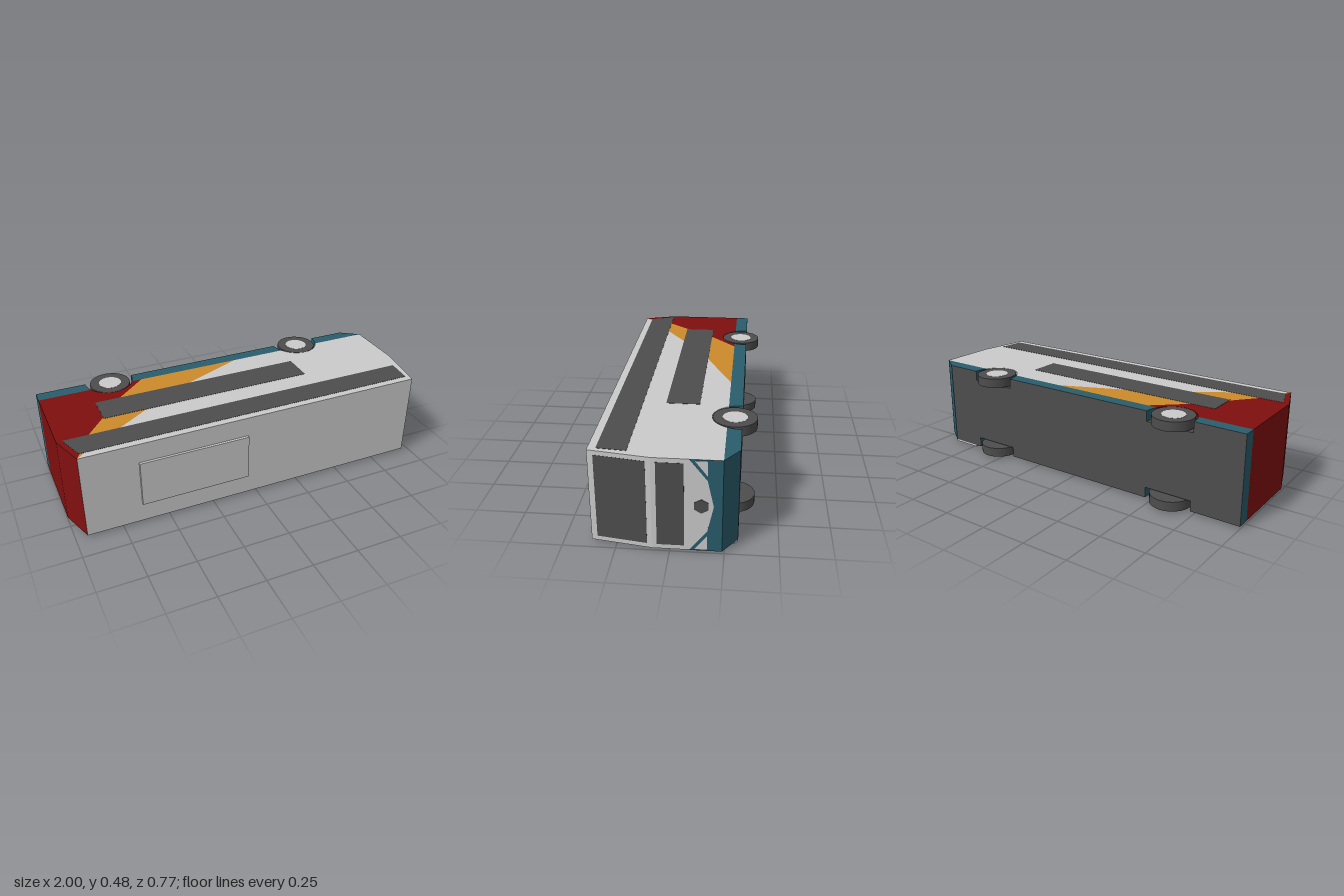
import * as THREE from 'three';

const mat = (color) => new THREE.MeshStandardMaterial({ color, side: THREE.DoubleSide });
const grey = mat(0xcccccc), dark = mat(0x4d4d4d), teal = mat(0x2a5d6c), red = mat(0x800f0f), orange = mat(0xcc8a2a);

// The bus lies on its side: length along x, its roof towards +z, its width along y
const Y0 = 0.012, Y1 = 0.483, MID = (Y0 + Y1) / 2;
const FLOOR = -0.31, SKIRT = -0.24, ROOF = 0.368, TYRE = 0.051;
const AXLES = [-0.6, 0.565], ARCH_W = 0.131, ARCH_H = 0.146;

// Wheel arch outline above height z, in order of growing x
function arch(cx, z, zEnd = 1) {
  const a = Math.asin((z - FLOOR) / ARCH_H);
  const points = [];
  for (let i = 0; i <= 16; i++) {
    const t = Math.PI - a - (i / 16) * (Math.PI - 2 * a);
    points.push([cx + ARCH_W * Math.cos(t), Math.min(zEnd, FLOOR + ARCH_H * Math.sin(t))]);
  }
  return points;
}

export function createModel() {
  const bus = new THREE.Group();
  bus.name = 'bus';

  function add(name, geometry, material, parent = bus) {
    const mesh = new THREE.Mesh(geometry, material);
    mesh.name = name;
    parent.add(mesh);
    return mesh;
  }

  // Outline in [x, z], extruded across the width from y0 to y1
  function slab(name, points, material, y0 = Y0, y1 = Y1) {
    const shape = new THREE.Shape(points.map(([x, z]) => new THREE.Vector2(x, -z)));
    const g = new THREE.ExtrudeGeometry(shape, { depth: y1 - y0, bevelEnabled: false });
    g.rotateX(-Math.PI / 2).translate(0, y0, 0);
    return add(name, g, material);
  }

  // Thin plate in [y, z] on the nose, leaning back with the upper deck
  function nosePlate(name, points, material, lift = 0.001) {
    const shape = new THREE.Shape(points.map(([y, z]) => new THREE.Vector2(y, z)));
    const g = new THREE.ExtrudeGeometry(shape, { depth: lift + 0.001, bevelEnabled: false });
    g.applyMatrix4(new THREE.Matrix4().makeBasis(
      new THREE.Vector3(0, 1, 0), new THREE.Vector3(0, 0, 1), new THREE.Vector3(1, 0, 0)));
    const p = g.attributes.position;
    for (let i = 0; i < p.count; i++) {
      p.setX(i, p.getX(i) + 0.999 - Math.max(0, p.getZ(i) - 0.08) * 0.156);
    }
    g.computeVertexNormals();
    return add(name, g, material);
  }

  const rect = (a, b, c, d) => [[a, c], [b, c], [b, d], [a, d]];
  const box = (name, x0, x1, y0, y1, z0, z1, material) => slab(name, rect(x0, x1, z0, z1), material, y0, y1);

  // Body in coloured sections that meet along the slanting stripes
  const redEdge = [[-0.43, SKIRT], [-0.59, -0.1], [-0.72, 0.05], [-0.84, 0.19], [-0.94, ROOF]];
  const orangeEdge = [[0.14, SKIRT], [-0.19, -0.1], [-0.51, 0.08], [-0.68, 0.19], [-0.9, 0.335], [-0.94, ROOF]];
  const skirtArch = (cx) => {
    // only the part of the arch lower than the top of the skirt
    const curve = (s) => [0, 0.25, 0.5, 0.75, 1].map((t) => {
      const z = FLOOR + t * (SKIRT - FLOOR);
      return [cx + s * ARCH_W * Math.sqrt(1 - ((z - FLOOR) / ARCH_H) ** 2), z];
    });
    return { left: curve(-1), right: curve(1) };
  };
  const [rearArch, frontArch] = AXLES.map(skirtArch);
  slab('skirtRear', [[-1, SKIRT], [-1, FLOOR], ...rearArch.left], teal);
  slab('skirtMiddle', [...rearArch.right, ...frontArch.left.reverse()].reverse(), teal);
  slab('skirtFront', [...frontArch.right, [1, SKIRT], [0.9, FLOOR]], teal);
  slab('rearBody', [[-1, SKIRT], ...arch(AXLES[0], SKIRT), ...redEdge, [-1, 0.19]], red);
  slab('stripe', [...orangeEdge.slice(0, -1), ...redEdge.slice().reverse()], orange);
  slab('mainBody', [...orangeEdge.slice().reverse(), ...arch(AXLES[1], SKIRT),
    [1, SKIRT], [1, 0.08], [0.955, ROOF]], grey);

  // Dark underside with gaps at the wheel wells, and the well linings
  box('underside', -1, 0.9, Y0 + 0.056, Y1 - 0.056, FLOOR - 0.001, FLOOR + 0.001, dark);
  const gaps = [-1, AXLES[0] - ARCH_W, AXLES[0] + ARCH_W, AXLES[1] - ARCH_W, AXLES[1] + ARCH_W, 0.9];
  for (let i = 0; i < 6; i += 2) {
    box('undersideEdge', gaps[i], gaps[i + 1], Y0, Y1, FLOOR - 0.001, FLOOR + 0.001, dark);
  }
  for (const cx of AXLES) slab('wheelWell', arch(cx, FLOOR), dark, Y0 + 0.056, Y1 - 0.056);

  // Side windows, showing on both sides
  const out = 0.0012;
  slab('lowerSideWindows', rect(-0.73, 0.435, -0.095, 0.075), dark, Y0 - out, Y1 + out);
  slab('upperSideWindows', [[-0.97, 0.19], [0.95, 0.19], [0.937, 0.33], [-0.922, 0.33]], dark, Y0 - out, Y1 + out);

  // Nose: windscreens, painted lower front, headlights and hexagonal plate
  nosePlate('upperWindscreen', rect(0.035, 0.461, 0.103, 0.34), dark);
  nosePlate('lowerWindscreen', rect(0.035, 0.461, -0.067, 0.058), dark);
  nosePlate('frontPaint', [[Y0, SKIRT], [Y1, SKIRT], [Y1, -0.09], [0.378, -0.172],
    [MID, -0.2], [0.117, -0.172], [Y0, -0.09]], teal);
  for (const s of [-1, 1]) {
    nosePlate('headlight', [[0.228, -0.115], [0.228, -0.172], [0.154, -0.172]]
      .map(([y, z]) => [MID + s * y, z]), grey, 0.002);
  }
  const hexagon = [];
  for (let i = 0; i < 6; i++) {
    const a = (i * Math.PI) / 3;
    hexagon.push([MID + 0.036 * Math.cos(a), -0.145 + 0.037 * Math.sin(a)]);
  }
  nosePlate('hexagonPlate', hexagon, dark, 0.002);

  // Roof unit
  box('roofUnit', -0.645, -0.055, 0.122, 0.375, ROOF - 0.002, 0.382, grey);

  // Entrance door on the lower side
  slab('door', [[0.735, 0.08], [0.735, FLOOR], [0.9, FLOOR], [0.92, -0.295], [0.92, 0.03], [0.885, 0.08]],
    grey, 0.001, Y0 + 0.001);
  box('doorWindow', 0.775, 0.89, 0, 0.002, -0.05, 0.045, dark);

  // Wheels, flush with the sides
  for (const cx of AXLES) {
    for (const s of [-1, 1]) {
      const wheel = new THREE.Group();
      wheel.name = 'wheel';
      wheel.position.set(cx, s > 0 ? Y1 - TYRE / 2 : Y0 + TYRE / 2, -0.275);
      add('tyre', new THREE.CylinderGeometry(0.109, 0.109, TYRE, 40), dark, wheel);
      const hub = add('hub', new THREE.CylinderGeometry(0.061, 0.061, 0.004, 32), grey, wheel);
      hub.position.y = s * (TYRE / 2 - 0.001);
      bus.add(wheel);
    }
  }
  return bus;
}
